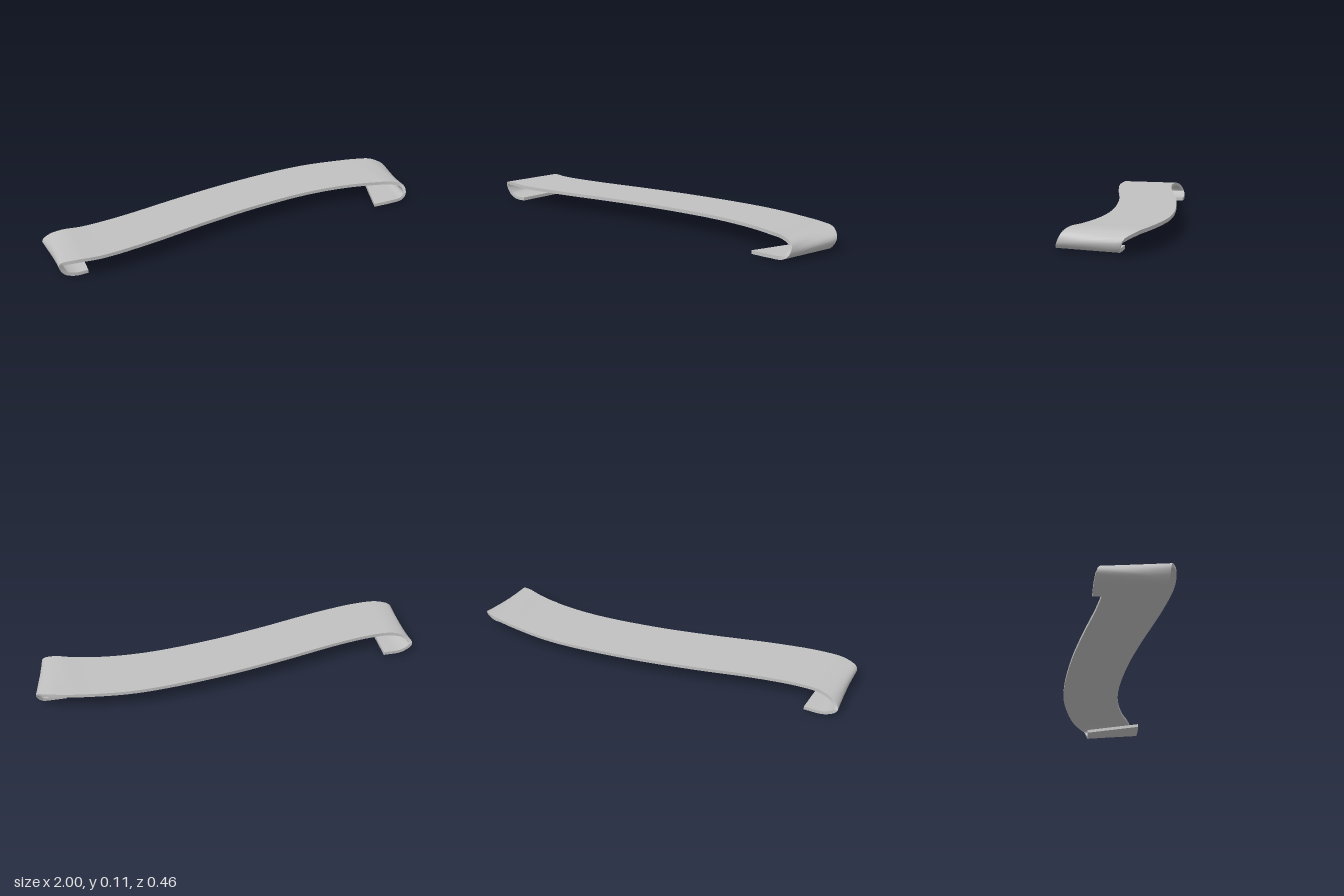
import * as THREE from 'three';

// Matching control points of the two long edges, from left tail tip to right tail tip
const frontEdge = [
  [-0.86, 0.012, 0.175], [-0.92, 0.012, 0.175], [-0.97, 0.03, 0.172], [-0.991, 0.08, 0.18], [-0.93, 0.098, 0.207], [-0.8, 0.098, 0.22],
  [-0.57, 0.098, 0.195], [-0.2, 0.098, 0.128], [0.08, 0.098, 0.088], [0.4, 0.098, 0.07], [0.62, 0.098, 0.09],
  [0.78, 0.098, 0.13], [0.87, 0.098, 0.165], [0.922, 0.08, 0.19], [0.925, 0.045, 0.21], [0.9, 0.024, 0.22], [0.83, 0.02, 0.223], [0.73, 0.017, 0.215],
];
const backEdge = [
  [-0.825, 0.014, -0.153], [-0.93, 0.016, -0.153], [-0.98, 0.045, -0.145], [-0.95, 0.08, -0.125], [-0.89, 0.098, -0.107], [-0.8, 0.098, -0.095],
  [-0.6, 0.098, -0.11], [-0.25, 0.098, -0.17], [0.03, 0.098, -0.21], [0.37, 0.098, -0.235], [0.56, 0.098, -0.231],
  [0.74, 0.098, -0.203], [0.86, 0.098, -0.175], [0.94, 0.094, -0.145], [0.991, 0.065, -0.09], [0.97, 0.024, -0.072], [0.92, 0.018, -0.072], [0.85, 0.017, -0.075],
];
const HALF = 0.0085;   // half the ribbon thickness
const STEPS = (frontEdge.length - 1) * 5;
const ACROSS = 10;

const toCurve = (pts) => new THREE.CatmullRomCurve3(pts.map((p) => new THREE.Vector3(...p)));
const front = toCurve(frontEdge);
const back = toCurve(backEdge);

// Point of the ribbon at s along, w across (0 back, 1 front)
const mid = (s, w) => back.getPoint(s).lerp(front.getPoint(s), w);

// Offset the middle surface along its normal; side is +1 outside, -1 inside
function skin(s, w, side) {
  const e = 0.002;
  const along = mid(Math.min(s + e, 1), w).sub(mid(Math.max(s - e, 0), w));
  const across = mid(s, 1).sub(mid(s, 0));
  const normal = across.cross(along).normalize();
  return mid(s, w).addScaledVector(normal, side * HALF);
}

// Smooth grid surface; fn(u, v) gives the point, dP/du x dP/dv points outward
function gridSurface(nu, nv, fn) {
  const pos = [];
  const index = [];
  for (let i = 0; i <= nu; i++) {
    for (let j = 0; j <= nv; j++) pos.push(...fn(i / nu, j / nv).toArray());
  }
  for (let i = 0; i < nu; i++) {
    for (let j = 0; j < nv; j++) {
      const a = i * (nv + 1) + j;
      const b = a + nv + 1;
      index.push(a, b, a + 1, b, b + 1, a + 1);
    }
  }
  const geometry = new THREE.BufferGeometry();
  geometry.setAttribute('position', new THREE.Float32BufferAttribute(pos, 3));
  geometry.setIndex(index);
  geometry.computeVertexNormals();
  return geometry;
}

export function createModel() {
  const group = new THREE.Group();
  group.name = 'ribbonBanner';
  const grey = new THREE.MeshStandardMaterial({ color: 0xc0c0c0 });
  grey.name = 'light grey';

  const add = (name, nu, nv, fn) => {
    const mesh = new THREE.Mesh(gridSurface(nu, nv, fn), grey);
    mesh.name = name;
    group.add(mesh);
  };

  // Broad faces of the ribbon
  add('outerFace', STEPS, ACROSS, (u, v) => skin(u, 1 - v, 1));
  add('innerFace', STEPS, ACROSS, (u, v) => skin(u, v, -1));
  // Long thin edges
  add('frontRim', STEPS, 1, (u, v) => skin(u, 1, v * 2 - 1));
  add('backRim', STEPS, 1, (u, v) => skin(u, 0, 1 - v * 2));
  // Tail tips
  add('leftTip', ACROSS, 1, (u, v) => skin(0, u, v * 2 - 1));
  add('rightTip', ACROSS, 1, (u, v) => skin(1, 1 - u, v * 2 - 1));
  return group;
}
